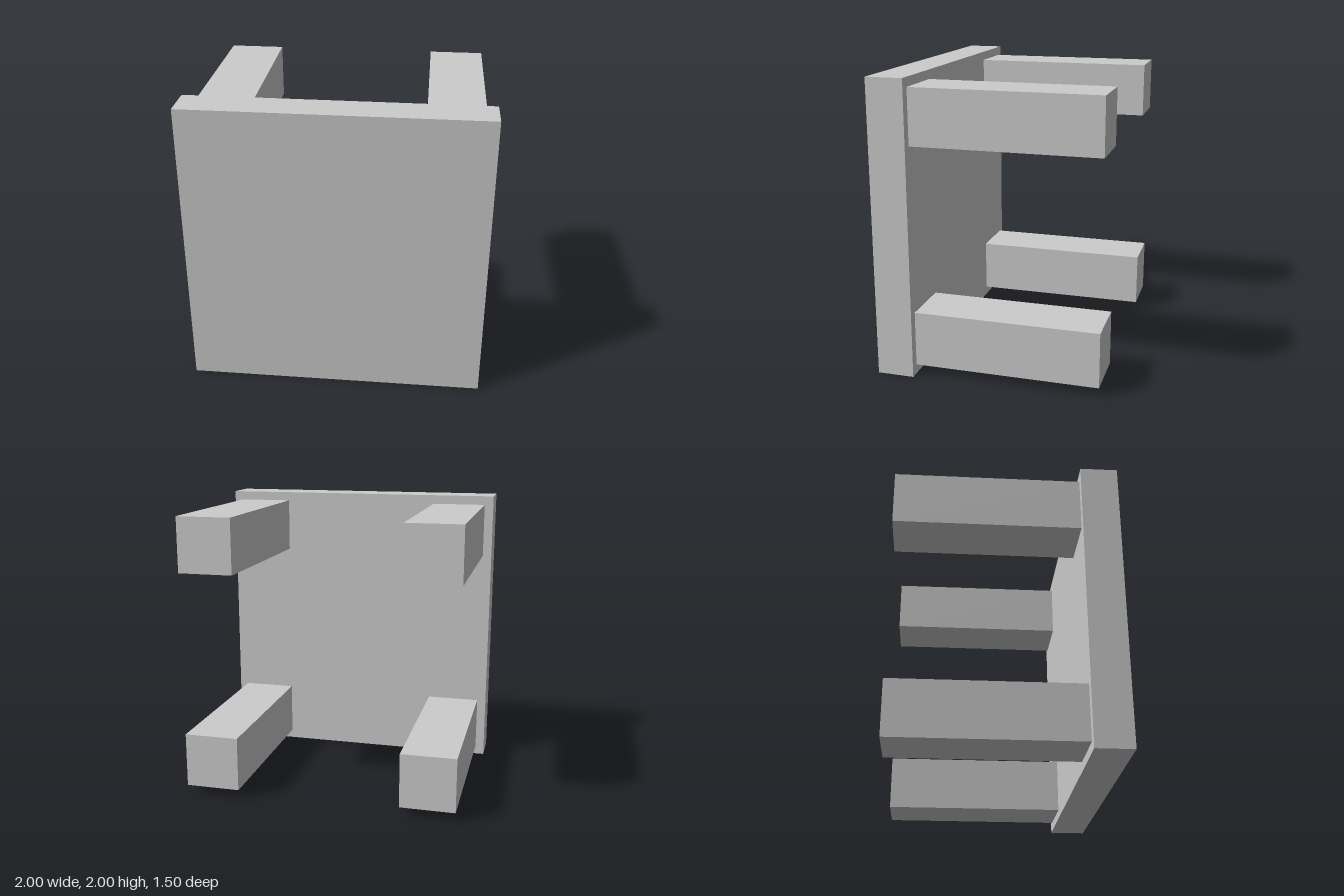
import * as THREE from 'three';

// Square table lying on its side: top faces +z, legs point to -z
export function createModel() {
  const model = new THREE.Group();
  model.name = 'table';
  const material = new THREE.MeshStandardMaterial({ color: 0xcccccc, flatShading: true });

  const addBox = (name, w, h, d, x, y, z) => {
    const mesh = new THREE.Mesh(new THREE.BoxGeometry(w, h, d), material);
    mesh.name = name;
    mesh.position.set(x, y, z);
    model.add(mesh);
  };

  // Table top
  addBox('tableTop', 2, 2, 0.25, 0, 1, 0.625);

  // Four square legs, inset from the corners
  for (const [side, x] of [['Left', 0.75], ['Right', -0.75]]) {
    for (const [level, y] of [['upper', 1.75], ['lower', 0.25]]) {
      addBox(`${level}${side}Leg`, 0.375, 0.375, 1.25, x, y, -0.125);
    }
  }
  return model;
}
